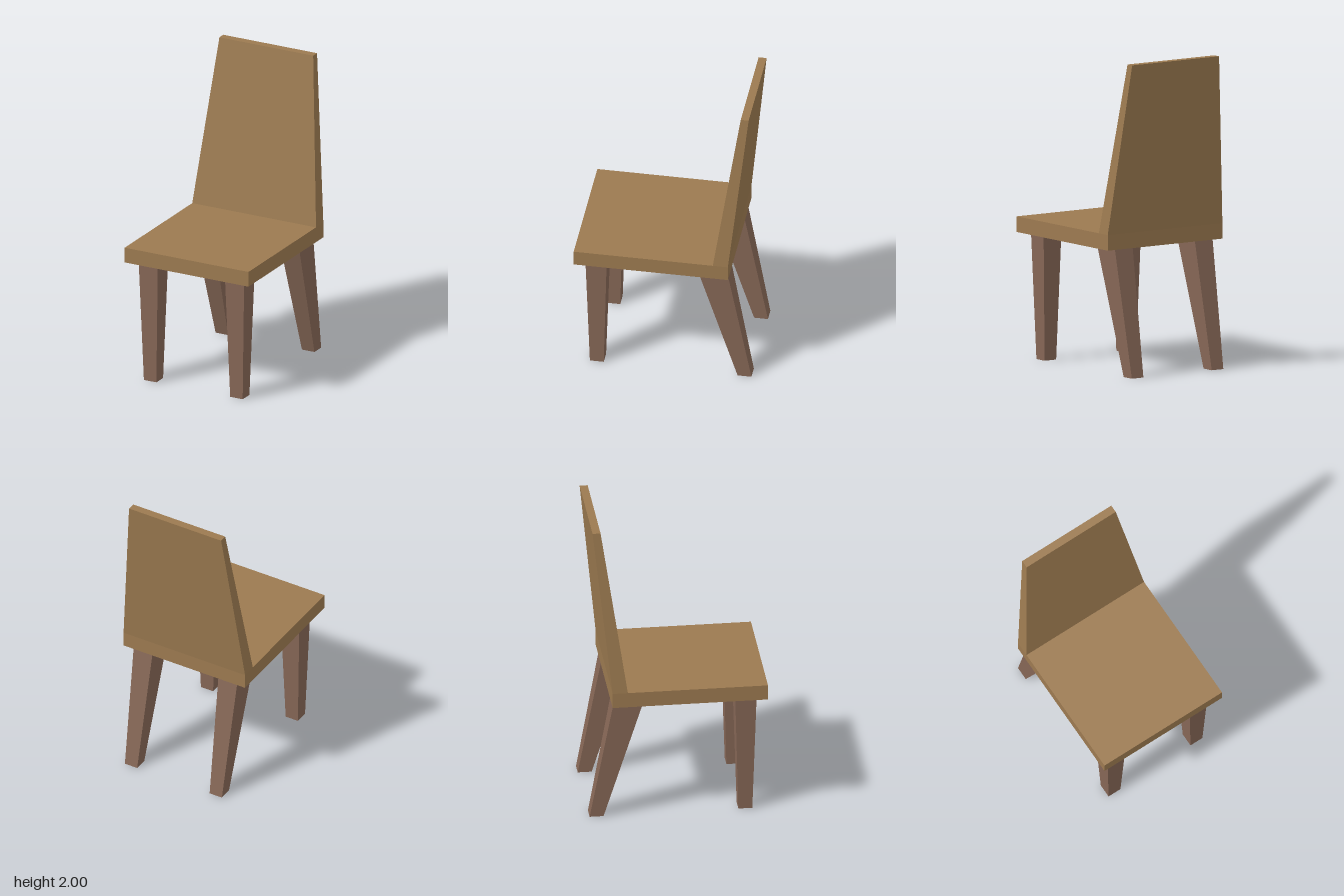
import * as THREE from 'three';

const seatWood = new THREE.MeshStandardMaterial({ color: 0x9c7a50, flatShading: true });
const legWood = new THREE.MeshStandardMaterial({ color: 0x866756, flatShading: true });

// Box whose bottom and top rectangles are set separately: { y, x: [min, max], z: [min, max] }
function taperedBox(name, bottom, top, material) {
  const geometry = new THREE.BoxGeometry(1, 1, 1);
  const p = geometry.attributes.position;
  for (let i = 0; i < p.count; i++) {
    const end = p.getY(i) > 0 ? top : bottom;
    p.setXYZ(i, end.x[p.getX(i) > 0 ? 1 : 0], end.y, end.z[p.getZ(i) > 0 ? 1 : 0]);
  }
  geometry.computeVertexNormals();
  const mesh = new THREE.Mesh(geometry, material);
  mesh.name = name;
  return mesh;
}

export function createModel() {
  const chair = new THREE.Group();
  chair.name = 'chair';
  const seatBottom = 0.81, seatTop = 0.91, half = 0.446;

  // Flat seat slab
  chair.add(taperedBox('seat',
    { y: seatBottom, x: [-half, half], z: [-0.427, 0.563] },
    { y: seatTop, x: [-half, half], z: [-0.427, 0.563] }, seatWood));

  // Backrest leaning back and narrowing upward
  chair.add(taperedBox('backrest',
    { y: seatTop, x: [-half, half], z: [-0.427, -0.33] },
    { y: 2, x: [-0.338, 0.338], z: [-0.542, -0.491] }, seatWood));

  // Tapered legs: upright in front, splayed backward at the rear
  const legs = [
    { name: 'FrontLeg', foot: [0.385, 0.474], head: [0.362, 0.499] },
    { name: 'RearLeg', foot: [-0.563, -0.474], head: [-0.413, -0.222] },
  ];
  for (const [sideName, side] of [['left', 1], ['right', -1]]) {
    const span = (w) => [side * 0.311 - w, side * 0.311 + w];
    for (const { name, foot, head } of legs) {
      chair.add(taperedBox(sideName + name,
        { y: 0, x: span(0.045), z: foot },
        { y: seatBottom, x: span(0.069), z: head }, legWood));
    }
  }
  return chair;
}
